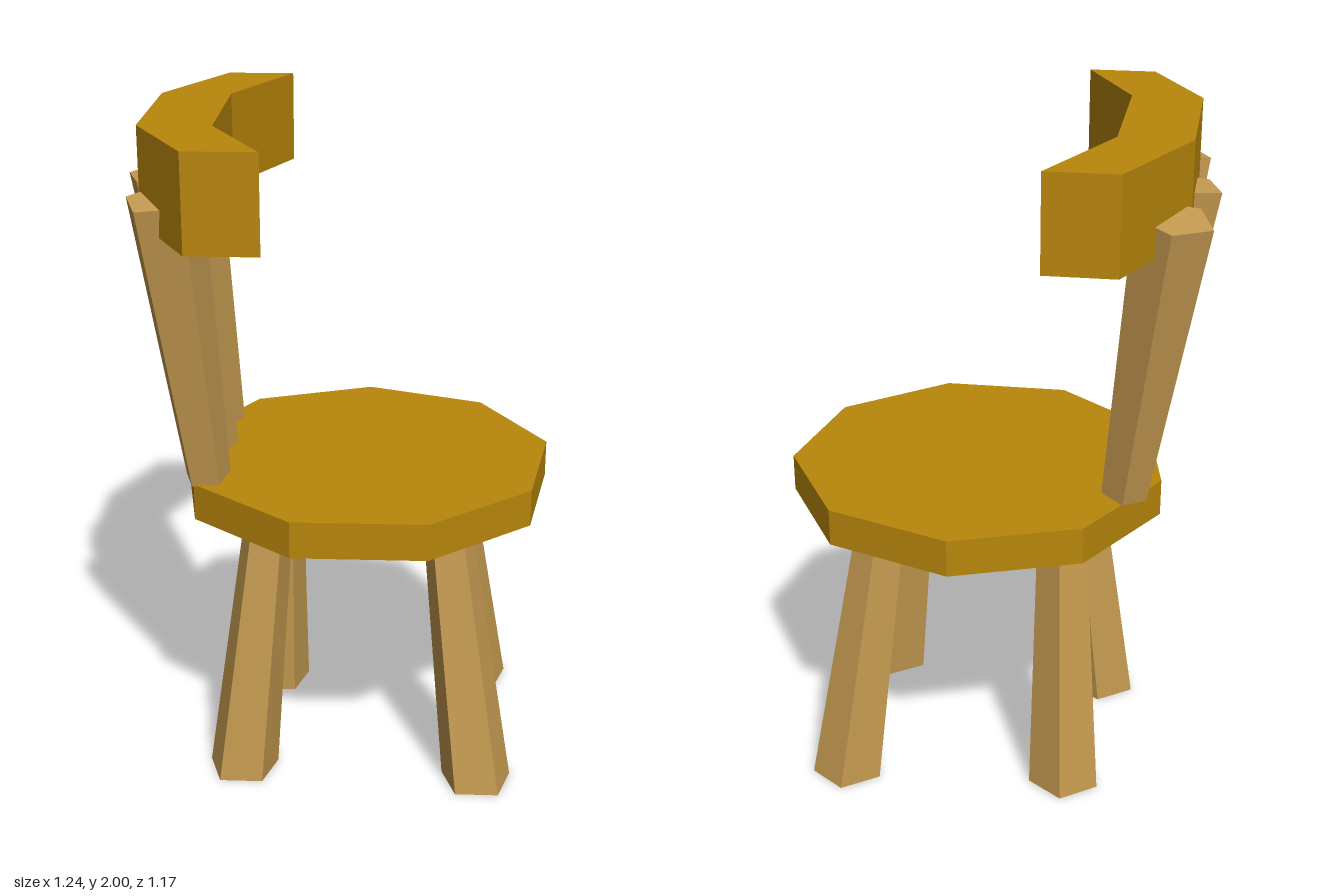
import * as THREE from 'three';

const gold = new THREE.MeshStandardMaterial({ color: 0xb8860b, flatShading: true });
const tan = new THREE.MeshStandardMaterial({ color: 0xc49a50, flatShading: true });

function add(group, name, geometry, material) {
  const mesh = new THREE.Mesh(geometry, material);
  mesh.name = name;
  group.add(mesh);
}

// Five-sided tapered post between two centres; its ends are level, or square to the lean.
function post([x0, y0, z0], [x1, y1, z1], r0, r1, squareEnds) {
  const h = y1 - y0;
  const sx = (x1 - x0) / h;
  const sz = (z1 - z0) / h;
  const g = new THREE.CylinderGeometry(r1, r0, h, 5, 1, false, Math.PI);
  const p = g.attributes.position;
  for (let i = 0; i < p.count; i++) {
    const lx = p.getX(i), lz = p.getZ(i);
    const t = p.getY(i) / h + 0.5;
    const dy = squareEnds ? -(lx * sx + lz * sz) : 0;
    p.setXYZ(i, x0 + (x1 - x0) * t + lx, y0 + h * t + dy, z0 + (z1 - z0) * t + lz);
  }
  g.computeVertexNormals();
  return g;
}

export function createModel() {
  const group = new THREE.Group();
  group.name = 'chair';

  // Nine-sided seat
  const seat = new THREE.CylinderGeometry(0.565, 0.565, 0.11, 9, 1, false, Math.PI);
  seat.translate(0.065, 0.9, -0.02);
  add(group, 'seat', seat, gold);

  // Angled back rest, drawn in plan (x, z) and extruded upward
  const plan = [
    [-0.385, -0.575], [-0.185, -0.575], [-0.34, -0.215], [-0.34, 0.26],
    [-0.185, 0.585], [-0.385, 0.585], [-0.545, 0.26], [-0.545, -0.215],
  ];
  const shape = new THREE.Shape(plan.map(([x, z]) => new THREE.Vector2(x, -z)));
  const rest = new THREE.ExtrudeGeometry(shape, { depth: 0.27, bevelEnabled: false });
  rest.rotateX(-Math.PI / 2).translate(0, 1.73, 0);
  add(group, 'backRest', rest, gold);

  // Splayed legs: foot centre, then top centre
  const legs = {
    frontLeftLeg: [[0.42, 0, 0.296], [0.31, 0.86, 0.21]],
    frontRightLeg: [[-0.3, 0, 0.253], [-0.21, 0.86, 0.207]],
    backLeftLeg: [[0.43, 0, -0.35], [0.315, 0.86, -0.26]],
    backRightLeg: [[-0.24, 0, -0.3], [-0.215, 0.86, -0.235]],
  };
  for (const [name, [foot, top]] of Object.entries(legs)) {
    add(group, name, post(foot, top, 0.11, 0.074, false), tan);
  }

  // Back spindles, widening and fanning out toward the top
  const spindles = {
    leftSpindle: [[-0.388, 0.963, 0.215], [-0.47, 1.82, 0.334]],
    middleSpindle: [[-0.39, 0.963, -0.022], [-0.515, 1.82, 0.004]],
    rightSpindle: [[-0.392, 0.963, -0.23], [-0.505, 1.82, -0.33]],
  };
  for (const [name, [base, top]] of Object.entries(spindles)) {
    add(group, name, post(base, top, 0.068, 0.11, true), tan);
  }

  return group;
}
